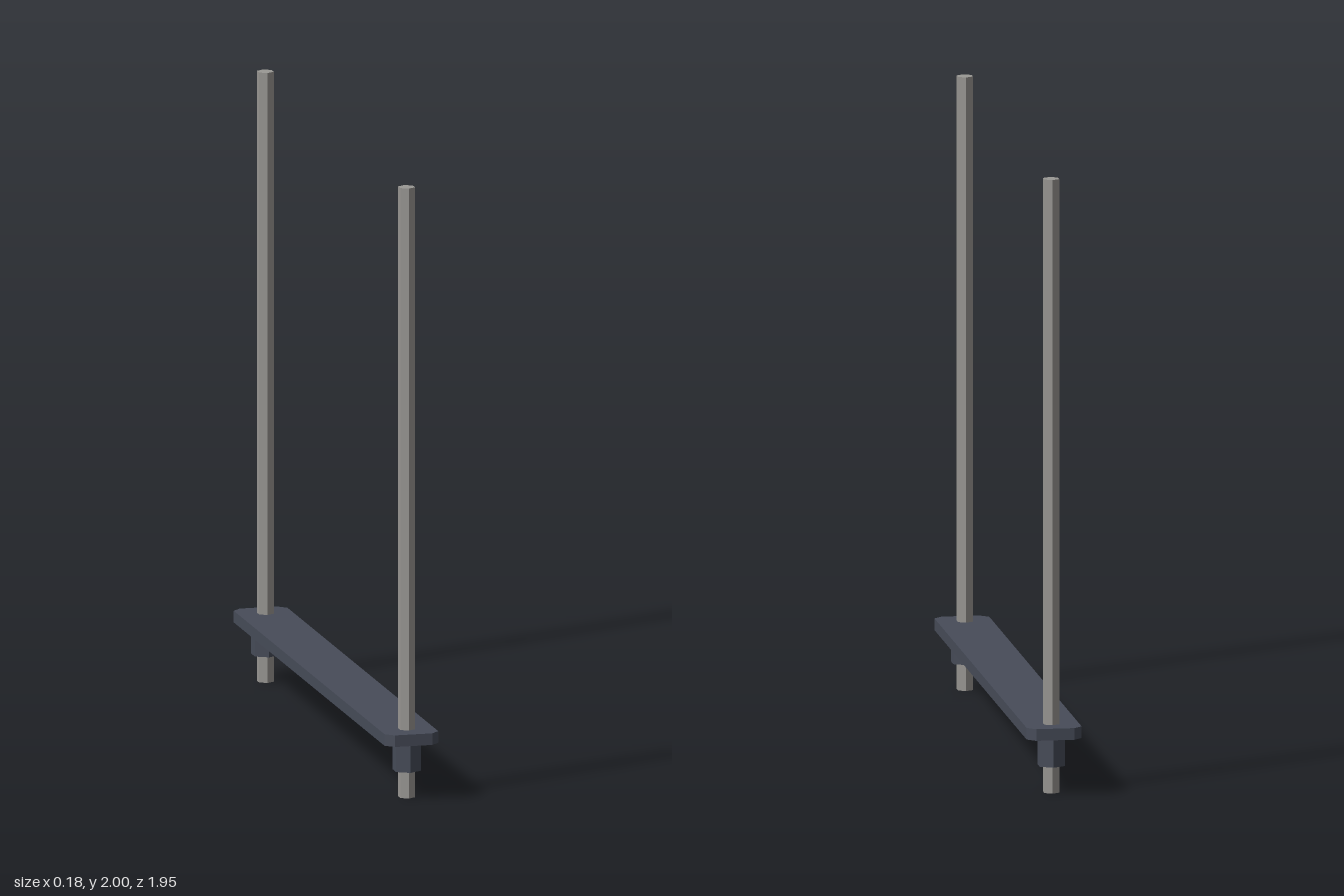
import * as THREE from 'three';

export function createModel() {
  const group = new THREE.Group();
  const steel = new THREE.MeshStandardMaterial({ color: 0x9a9894, flatShading: true });
  const dark = new THREE.MeshStandardMaterial({ color: 0x474c59, flatShading: true });

  const add = (name, geometry, material, y, z = 0) => {
    const mesh = new THREE.Mesh(geometry, material);
    mesh.name = name;
    mesh.position.set(0, y, z);
    group.add(mesh);
  };

  // Flat bar with chamfered corners
  const w = 0.089, l = 0.975, c = 0.027;
  const outline = new THREE.Shape([
    [w, -l + c], [w, l - c], [w - c, l], [-w + c, l],
    [-w, l - c], [-w, -l + c], [-w + c, -l], [w - c, -l],
  ].map(([x, y]) => new THREE.Vector2(x, y)));
  const plate = new THREE.ExtrudeGeometry(outline, { depth: 0.038, bevelEnabled: false });
  plate.rotateX(-Math.PI / 2);
  add('crossPlate', plate, dark, 0.185);

  // Hexagonal rods passing through the bar, each held by a nut below
  const rod = new THREE.CylinderGeometry(0.028, 0.028, 2, 6);
  const nut = new THREE.CylinderGeometry(0.047, 0.047, 0.097, 6);
  for (const [side, z] of [['front', 0.888], ['back', -0.888]]) {
    add(side + 'Rod', rod, steel, 1, z);
    add(side + 'Nut', nut, dark, 0.1365, z);
  }
  return group;
}
